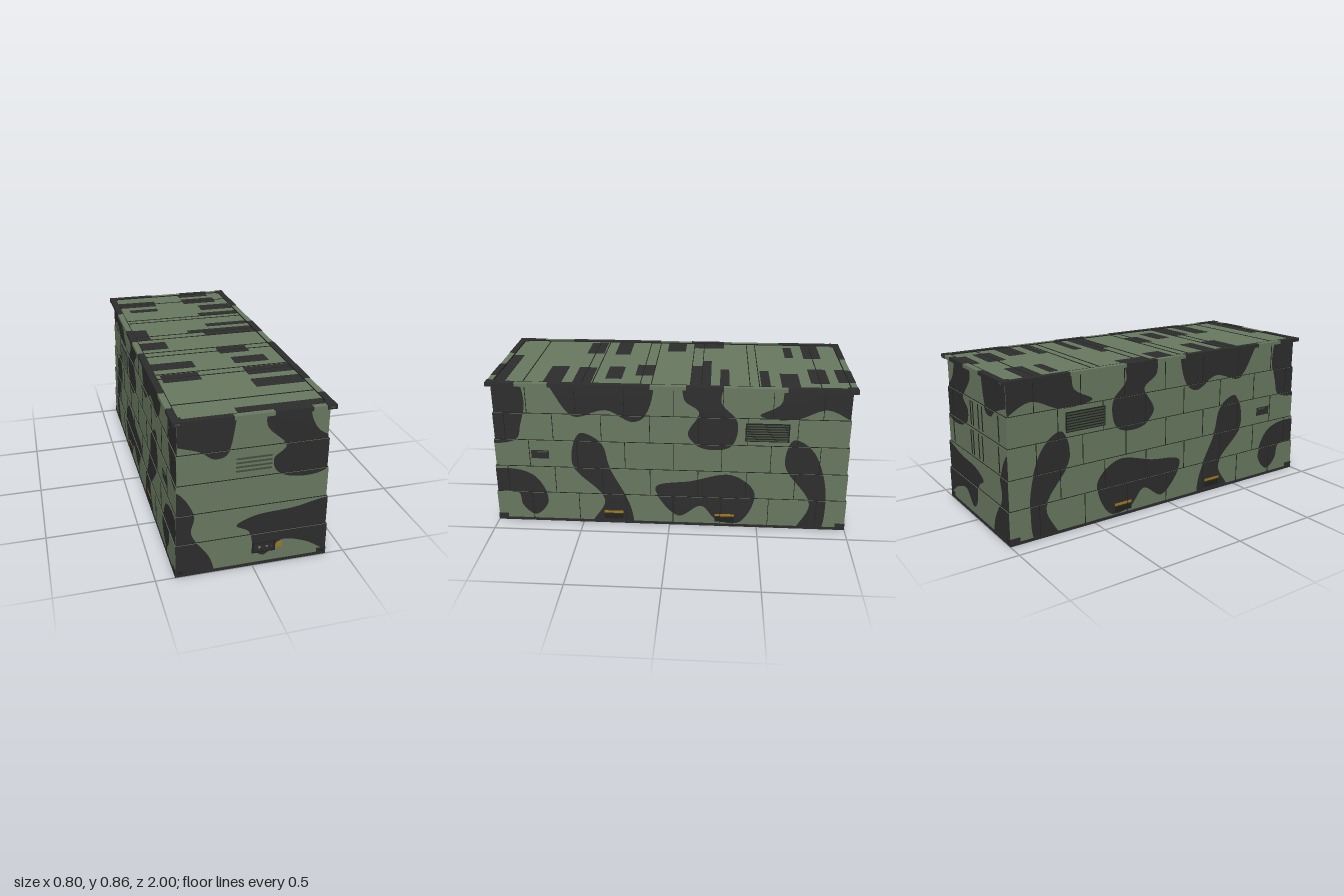
import * as THREE from 'three';

const material = (name, color) => {
  const m = new THREE.MeshStandardMaterial({ color });
  m.name = name;
  return m;
};

export function createModel() {
  const root = new THREE.Group();
  root.name = 'camouflagedContainer';
  const green = material('olive green', 0x68785f);
  const dark = material('camouflage charcoal', 0x2d2d2d);
  const seam = material('seam black', 0x20231f);
  const slat = material('shaded green', 0x424d3e);
  const yellow = material('marker yellow', 0xa17a1a);

  const add = (parent, name, geo, mat) => {
    const m = new THREE.Mesh(geo, mat);
    m.name = name;
    parent.add(m);
    return m;
  };
  // Box from its limits
  const block = (parent, name, mat, x0, x1, y0, y1, z0, z1) =>
    add(parent, name, new THREE.BoxGeometry(x1 - x0, y1 - y0, z1 - z0), mat)
      .position.set((x0 + x1) / 2, (y0 + y1) / 2, (z0 + z1) / 2);

  // Stepped wall courses, each set in from the one below
  const levels = [0.015, 0.184, 0.347, 0.51, 0.67, 0.835];
  const inset = i => 0.003 + 0.0055 * i;
  const halfX = i => 0.4 - inset(i), halfZ = i => 1 - inset(i);
  block(root, 'basePlate', dark, -0.4, 0.4, 0, 0.016, -1, 1);
  for (let i = 0; i < 5; i++) {
    const x = halfX(i), z = halfZ(i);
    block(root, 'wallCourse', green, -x, x, levels[i], levels[i + 1], -z, z);
    if (i > 0) block(root, 'courseSeam', seam, -x - 0.003, x + 0.003,
      levels[i] - 0.001, levels[i] + 0.003, -z - 0.003, z + 0.003);
  }

  // Each wall: turn about y, sign that maps the wall coordinate, and extents
  const faces = {
    front: { turn: 0, sign: 1, depth: halfZ, half: halfX },
    back: { turn: Math.PI, sign: -1, depth: halfZ, half: halfX },
    left: { turn: Math.PI / 2, sign: -1, depth: halfX, half: halfZ },
    right: { turn: -Math.PI / 2, sign: 1, depth: halfX, half: halfZ },
  };
  const walls = {};
  for (const key in faces) {
    walls[key] = new THREE.Group();
    walls[key].name = key + 'Wall';
    walls[key].rotation.y = faces[key].turn;
    root.add(walls[key]);
  }
  // Thin plate on one wall course
  const plate = (key, name, mat, u0, u1, y0, y1, course, thick = 0.004) => {
    const f = faces[key], a = u0 * f.sign, b = u1 * f.sign, d = f.depth(course);
    block(walls[key], name, mat, Math.min(a, b), Math.max(a, b), y0, y1, d - 0.002, d + thick);
  };

  // Cut a polygon by one straight limit
  const clip = (pts, axis, limit, dir) => {
    const out = [];
    pts.forEach((p, i) => {
      const q = pts[(i + 1) % pts.length];
      const a = (p[axis] - limit) * dir, b = (q[axis] - limit) * dir;
      if (a >= 0) out.push(p.clone());
      if ((a >= 0) !== (b >= 0)) out.push(p.clone().lerp(q, a / (a - b)));
    });
    return out;
  };
  // Smooth camouflage patch, cut into the courses it crosses
  const blob = (key, flat) => {
    const f = faces[key], knots = [];
    for (let i = 0; i < flat.length; i += 2)
      knots.push(new THREE.Vector3(flat[i] * f.sign, flat[i + 1], 0));
    const outline = new THREE.CatmullRomCurve3(knots, true, 'centripetal')
      .getPoints(knots.length * 7).slice(0, -1).map(p => new THREE.Vector2(p.x, p.y));
    for (let c = 0; c < 5; c++) {
      let pts = clip(outline, 'y', levels[c], 1);
      pts = clip(pts, 'y', levels[c + 1], -1);
      pts = clip(pts, 'x', -f.half(c), 1);
      pts = clip(pts, 'x', f.half(c), -1);
      if (pts.length < 3) continue;
      add(walls[key], 'camouflagePatch', new THREE.ShapeGeometry(new THREE.Shape(pts)), dark)
        .position.z = f.depth(c) + 0.0015;
    }
  };

  // Patch outlines as pairs: along the wall, height
  const endBlobs = [
    [-0.45, 0.9, -0.11, 0.9, -0.105, 0.74, -0.14, 0.645, -0.2, 0.635, -0.26, 0.675, -0.375, 0.715, -0.45, 0.74],
    [0.09, 0.9, 0.06, 0.78, 0.16, 0.66, 0.1, 0.6, 0.115, 0.53, 0.2, 0.49, 0.35, 0.495, 0.44, 0.57,
      0.44, 0.64, 0.32, 0.73, 0.28, 0.82, 0.28, 0.9],
    [-0.39, 0.48, -0.3, 0.345, -0.315, 0.24, -0.22, 0.08, -0.21, -0.02, -0.5, -0.02, -0.45, 0.4],
    [0.45, 0.33, 0.2, 0.31, 0, 0.293, -0.085, 0.25, -0.02, 0.205, 0.01, 0.09, 0.06, 0.055,
      0.15, 0.13, 0.28, 0.1, 0.45, 0.01],
  ];
  const sideBlobs = [
    [1.05, 0.9, 0.84, 0.88, 0.8, 0.74, 0.83, 0.6, 0.86, 0.515, 1.05, 0.51],
    [0.66, 0.9, 0.62, 0.77, 0.53, 0.66, 0.35, 0.7, 0.2, 0.635, 0.13, 0.68, 0.105, 0.9],
    [-0.09, 0.9, -0.08, 0.77, -0.16, 0.7, -0.1, 0.57, -0.18, 0.49, -0.34, 0.505, -0.37, 0.65, -0.28, 0.76, -0.29, 0.9],
    [-0.63, 0.9, -0.6, 0.76, -0.49, 0.69, -0.68, 0.67, -0.85, 0.73, -1.05, 0.65, -1.05, 0.9],
    [0.5, 0.56, 0.38, 0.5, 0.34, 0.36, 0.22, 0.1, 0.22, -0.02, 0.45, -0.02, 0.37, 0.15, 0.55, 0.37],
    [1.05, 0.31, 0.87, 0.33, 0.76, 0.28, 0.7, 0.13, 0.78, 0.04, 0.85, 0.1, 0.87, 0.18, 1.05, 0.2],
    [0.08, 0.24, -0.12, 0.285, -0.35, 0.33, -0.48, 0.22, -0.4, 0.03, -0.27, 0.04, -0.18, 0.13, -0.05, 0.06],
    [-0.68, 0.55, -0.78, 0.5, -0.85, 0.36, -0.88, 0.17, -0.85, -0.02, -0.72, -0.02, -0.79, 0.16, -0.64, 0.4],
  ];
  for (const key of ['front', 'back']) endBlobs.forEach(b => blob(key, b));
  for (const key of ['left', 'right']) sideBlobs.forEach(b => blob(key, b));

  // Front: louvres, socket box and warning plate
  for (let i = 0; i < 4; i++) plate('front', 'louvre', slat, -0.09, 0.09, 0.548 + i * 0.0225, 0.556 + i * 0.0225, 3);
  plate('front', 'socketFrame', seam, -0.003, 0.12, 0.072, 0.132, 0, 0.0025);
  plate('front', 'socketPanel', dark, 0.006, 0.112, 0.08, 0.126, 0, 0.003);
  for (const [x, r] of [[0.036, 0.008], [0.076, 0.007], [0.1, 0.003]])
    add(walls.front, 'socket', new THREE.CircleGeometry(r, 12), green).position.set(x, 0.105, halfZ(0) + 0.0035);
  plate('front', 'warningPlate', yellow, 0.124, 0.155, 0.09, 0.119, 0, 0.0025);

  // Back: double door edges and locking bars
  for (const x of [-0.29, -0.09, -0.04, 0.03, 0.06, 0.31])
    for (const c of [2, 3])
      plate('back', 'doorBar', seam, x - 0.002, x + 0.002, levels[c] + 0.015, levels[c + 1] - 0.008, c);

  // Sides: staggered joints, vent, hatch and fork pockets
  for (const key of ['left', 'right']) {
    for (let c = 0; c < 5; c++)
      for (let z = -0.83 + (c % 2) * 0.13; z < 0.95; z += 0.27)
        plate(key, 'panelJoint', seam, z - 0.0015, z + 0.0015, levels[c], levels[c + 1], c, 0.003);
    plate(key, 'ventFrame', seam, -0.655, -0.415, 0.536, 0.645, 3, 0.002);
    for (let i = 0; i < 7; i++)
      plate(key, 'ventSlat', slat, -0.648, -0.422, 0.542 + i * 0.0147, 0.549 + i * 0.0147, 3, 0.005);
    plate(key, 'hatch', dark, 0.68, 0.78, 0.4, 0.45, 2, 0.0025);
    plate(key, 'hatchHandle', slat, 0.69, 0.745, 0.437, 0.446, 2, 0.0035);
    for (const z of [0.322, -0.315]) {
      plate(key, 'forkPocket', seam, z - 0.055, z + 0.055, 0.028, 0.058, 0, 0.0025);
      plate(key, 'forkMarker', yellow, z - 0.055, z + 0.055, 0.065, 0.08, 0, 0.0025);
    }
  }

  // Roof slab with raised rim
  block(root, 'roof', green, -0.398, 0.398, 0.834, 0.848, -0.998, 0.998);
  for (const s of [-1, 1]) {
    const x = s * 0.382, z = s * 0.982;
    block(root, 'roofSideRail', green, x - 0.016, x + 0.016, 0.836, 0.853, -0.998, 0.998);
    block(root, 'roofEndRail', green, -0.398, 0.398, 0.836, 0.853, z - 0.016, z + 0.016);
    block(root, 'railSeam', seam, s * 0.364 - 0.002, s * 0.364 + 0.002, 0.846, 0.8535, -0.97, 0.97);
    block(root, 'railSeam', seam, -0.37, 0.37, 0.846, 0.8535, s * 0.964 - 0.002, s * 0.964 + 0.002);
    for (const [a, b] of [[0.84, 0.96], [0.105, 0.66], [-0.29, -0.09], [-0.96, -0.63]])
      block(root, 'railPatch', dark, x - 0.017, x + 0.017, 0.8335, 0.8545, a, b);
    for (const [a, b] of [[-0.36, -0.108], [0.09, 0.28]])
      block(root, 'railPatch', dark, a, b, 0.8335, 0.8545, z - 0.017, z + 0.017);
    // Corner castings, top and bottom, with their slots
    for (const t of [-1, 1]) {
      const cx = s * 0.375, cz = t * 0.972;
      block(root, 'topCorner', dark, cx - 0.025, cx + 0.025, 0.833, 0.855, cz - 0.0275, cz + 0.0275);
      block(root, 'bottomCorner', dark, cx - 0.025, cx + 0.025, 0.003, 0.04, cz - 0.0275, cz + 0.0275);
      block(root, 'topSlot', slat, cx - 0.012, cx + 0.012, 0.84, 0.849, cz - 0.028, cz + 0.028);
      block(root, 'bottomSlot', seam, cx - 0.012, cx + 0.012, 0.017, 0.032, cz - 0.028, cz + 0.028);
    }
  }
  for (const z of [-0.81, -0.48, -0.43, -0.17, -0.11, 0.1, 0.16, 0.42, 0.48, 0.8])
    block(root, 'roofSeam', seam, -0.364, 0.364, 0.846, 0.851, z - 0.002, z + 0.002);

  // Roof camouflage: x from, x to, z from, z to
  const roofPatches = [
    [-0.36, -0.12, -0.86, -0.76], [0.07, 0.29, -0.86, -0.76], [0.07, 0.27, -0.97, -0.91],
    [-0.31, -0.13, -0.7, -0.65], [0.15, 0.36, -0.7, -0.6], [0.11, 0.36, -0.54, -0.49],
    [0.1, 0.36, -0.32, -0.27], [-0.04, 0.36, -0.22, -0.17], [0.05, 0.36, -0.17, -0.11],
    [-0.36, -0.28, -0.29, -0.11], [-0.36, -0.21, -0.06, 0.05], [0.05, 0.22, 0.1, 0.2],
    [-0.36, -0.13, 0.27, 0.36], [0.09, 0.28, 0.27, 0.36], [-0.34, -0.14, 0.43, 0.53],
    [0.11, 0.36, 0.43, 0.53], [0.1, 0.36, 0.59, 0.69], [-0.08, 0.36, 0.9, 0.96],
  ];
  for (const [x0, x1, z0, z1] of roofPatches) block(root, 'roofPatch', dark, x0, x1, 0.846, 0.85, z0, z1);

  return root;
}
